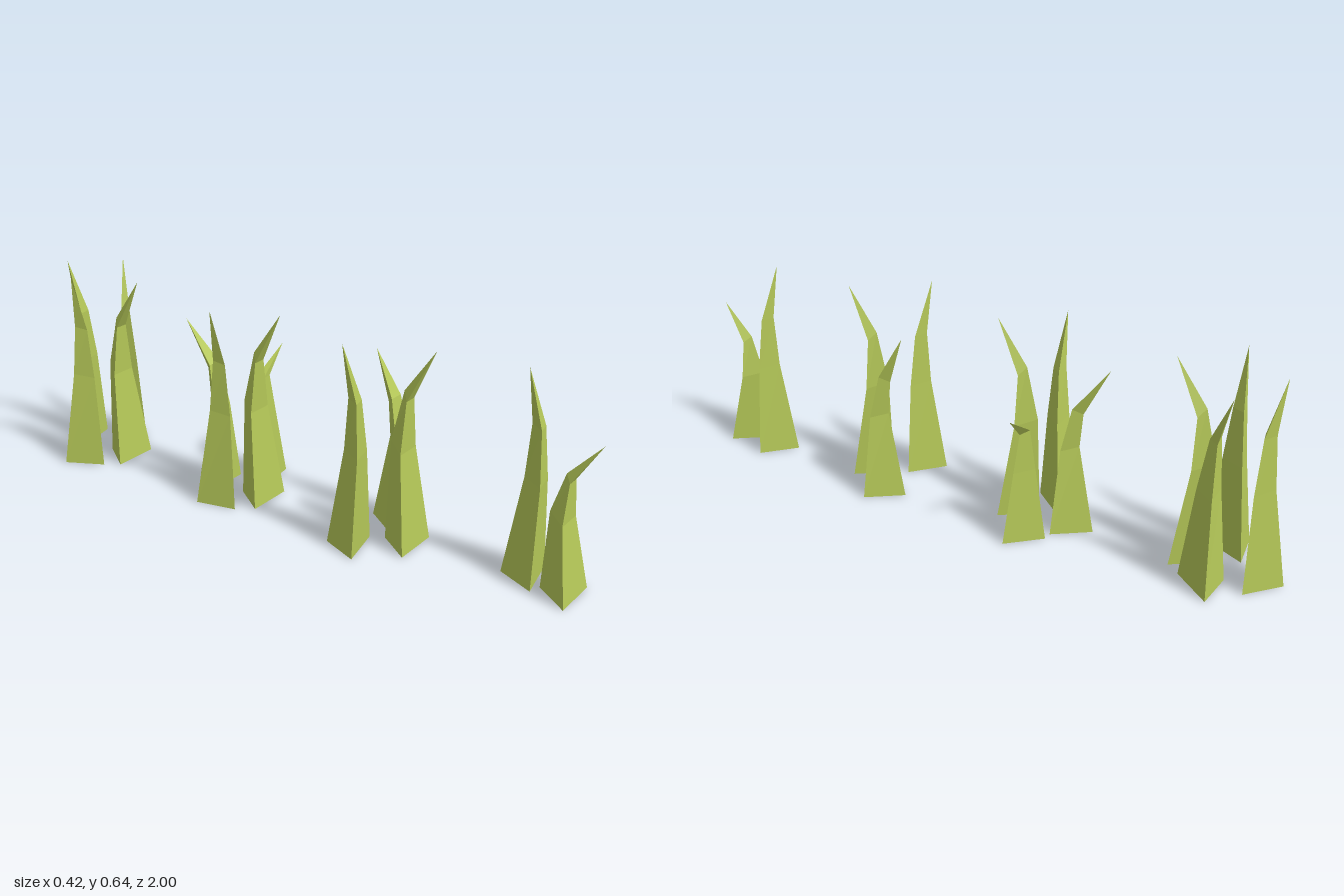
import * as THREE from 'three';

// Blade shapes: each ring is [half width, sideways shift, edge y, edge depth, apex y, apex depth].
// Depth is measured from the base's wide edge towards its apex (local -z).
const BASE = [0.078, 0, 0, 0, 0, 0.108];
const SHAPES = {
  outward: {
    rings: [BASE, [0.043, 0, 0.305, 0.037, 0.325, 0.095], [0.021, 0, 0.465, 0.035, 0.49, 0.055]],
    tip: [0, 0.63, -0.046],
  },
  upright: {
    rings: [BASE, [0.041, 0.003, 0.3, 0.002, 0.31, 0.058], [0.022, -0.002, 0.465, 0.012, 0.475, 0.045]],
    tip: [-0.028, 0.645, 0.056],
  },
  backward: {
    rings: [BASE, [0.038, 0, 0.27, 0.008, 0.28, 0.053], [0.025, 0, 0.41, 0.036, 0.39, 0.062]],
    tip: [0, 0.545, 0.125],
  },
  sideways: {
    rings: [BASE, [0.042, 0, 0.3, 0.018, 0.31, 0.072], [0.02, 0.006, 0.465, 0.03, 0.48, 0.055]],
    tip: [0.088, 0.63, 0.03],
  },
};

// Three-sided faceted blade made of stacked triangles closing to a tip
function bladeGeometry({ rings, tip }, heightScale, tipOverride) {
  const v = (x, y, depth) => [x, y * heightScale, -depth];
  const loops = rings.map(([w, s, ey, ed, ay, ad]) => [v(s - w, ey, ed), v(s + w, ey, ed), v(s, ay, ad)]);
  const t = tipOverride ? [tipOverride[0], tipOverride[1], -tipOverride[2]] : v(...tip);
  const pos = [];
  const tri = (a, b, c) => pos.push(...a, ...b, ...c);
  tri(loops[0][2], loops[0][1], loops[0][0]);
  loops.forEach((lo, k) => {
    const hi = loops[k + 1];
    for (let i = 0; i < 3; i++) {
      const j = (i + 1) % 3;
      if (hi) {
        tri(lo[i], lo[j], hi[j]);
        tri(lo[i], hi[j], hi[i]);
      } else tri(lo[i], lo[j], t);
    }
  });
  const g = new THREE.BufferGeometry();
  g.setAttribute('position', new THREE.Float32BufferAttribute(pos, 3));
  g.computeVertexNormals();
  return g;
}

export function createModel() {
  const model = new THREE.Group();
  model.name = 'grassRow';
  const grass = new THREE.MeshStandardMaterial({ color: 0xb5c858 });
  grass.name = 'grassGreen';
  grass.flatShading = true;

  // Tufts from front to back; blades are [shape, x, z, turn, height scale, own tip]
  const tufts = {
    frontTuft: [
      ['outward', -0.041, 0.95, 0, 0.753],
      ['upright', -0.002, 0.815, 0.19, 1],
    ],
    frontMiddleTuft: [
      ['outward', -0.041, 0.437, 0, 1],
      ['upright', -0.138, 0.305, 0.22, 1],
      ['backward', 0.073, 0.322, 0, 1, [0.006, 0.547, 0.112]],
    ],
    backMiddleTuft: [
      ['outward', -0.041, -0.104, 0, 1],
      ['upright', -0.105, -0.213, 0.84, 1],
      ['backward', -0.02, -0.298, 0, 1, [-0.01, 0.543, 0.139]],
      ['sideways', 0.1, -0.19, 0.12, 0.753, [0.115, 0.432, 0.032]],
    ],
    backTuft: [
      ['outward', -0.041, -0.676, 0, 1],
      ['upright', -0.115, -0.79, 1.1, 1],
      ['upright', 0.003, -0.903, 0.22, 1, [-0.014, 0.643, 0.06]],
      ['sideways', 0.117, -0.78, 0.89, 1],
    ],
  };
  for (const [name, blades] of Object.entries(tufts)) {
    const tuft = new THREE.Group();
    tuft.name = name;
    for (const [shape, x, z, turn, scale, tip] of blades) {
      const blade = new THREE.Mesh(bladeGeometry(SHAPES[shape], scale, tip), grass);
      blade.name = shape + 'Blade';
      blade.position.set(x, 0, z);
      blade.rotation.y = turn;
      tuft.add(blade);
    }
    model.add(tuft);
  }
  return model;
}
